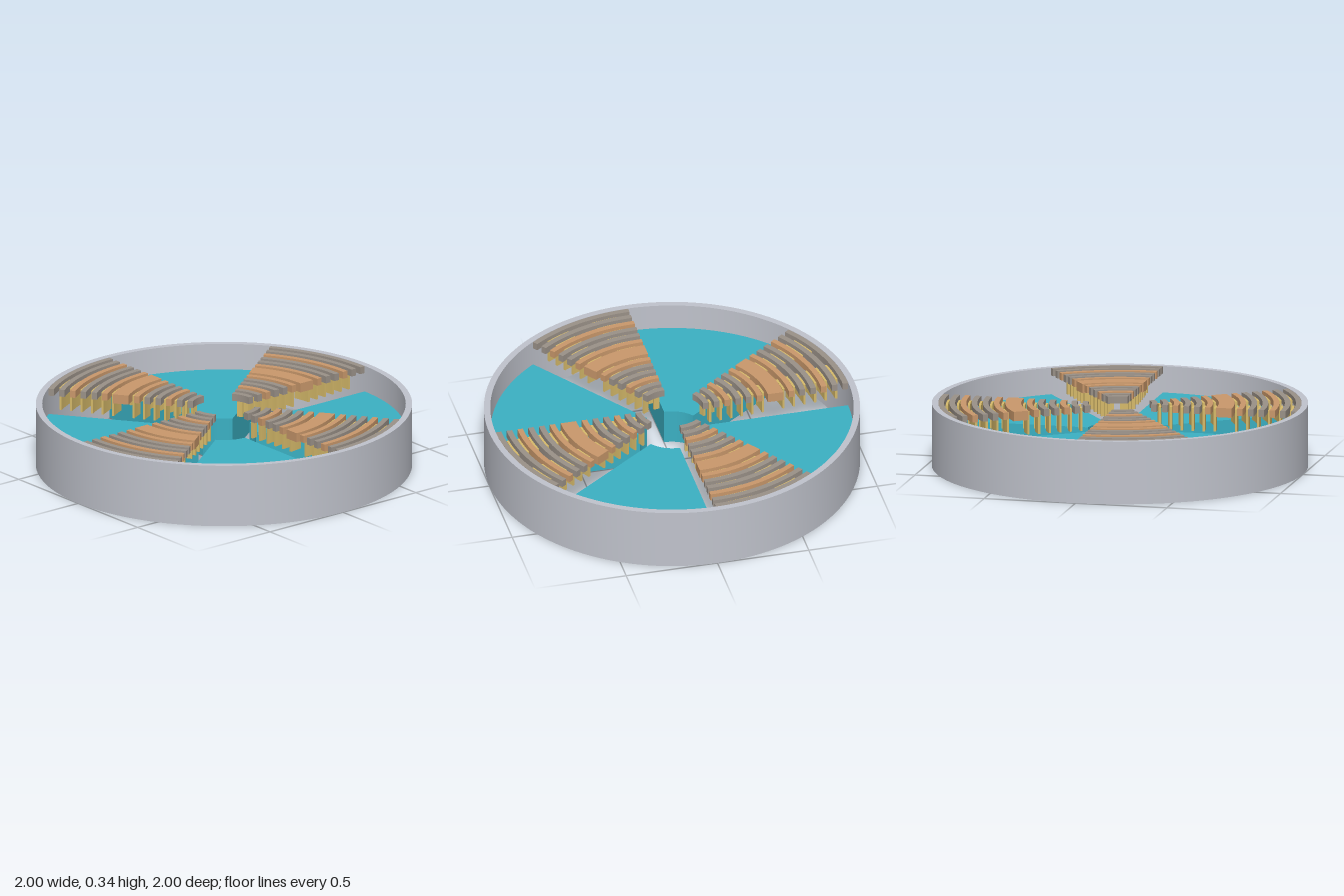
import * as THREE from 'three';
import { toCreasedNormals } from 'three/addons/utils/BufferGeometryUtils.js';

const mat = (name, color) => {
  const m = new THREE.MeshStandardMaterial({ color });
  m.name = name;
  return m;
};
const DEG = Math.PI / 180;

// Extrude a flat outline upward from y0 to y1
function raise(shape, y0, y1, segments) {
  const g = new THREE.ExtrudeGeometry(shape, { depth: y1 - y0, bevelEnabled: false, curveSegments: segments });
  g.rotateX(-Math.PI / 2);
  g.translate(0, y0, 0);
  return toCreasedNormals(g, 0.5);
}

// Solid ring sector between two radii and two angles (degrees)
function sector(r0, r1, a0, a1, y0, y1) {
  const s = new THREE.Shape();
  s.absarc(0, 0, r1, a0 * DEG, a1 * DEG, false);
  s.absarc(0, 0, r0, a1 * DEG, a0 * DEG, true);
  s.closePath();
  return raise(s, y0, y1, Math.max(6, Math.round((a1 - a0) / 2)));
}

export function createModel() {
  const model = new THREE.Group();
  const silver = mat('silver', 0xc0c3cc);
  const teal = mat('teal', 0x3bb0c3);
  const grey = mat('warmGrey', 0x9a9188);
  const copper = mat('copper', 0xc9986b);
  const gold = mat('gold', 0xd6ba6a);

  const add = (parent, name, geometry, material) => {
    const m = new THREE.Mesh(geometry, material);
    m.name = name;
    parent.add(m);
  };

  // Outer wall
  const wall = new THREE.Shape();
  wall.absarc(0, 0, 1, 0, Math.PI * 2, false);
  const bore = new THREE.Path();
  bore.absarc(0, 0, 0.966, 0, Math.PI * 2, true);
  wall.holes.push(bore);
  add(model, 'outerRing', raise(wall, 0, 0.34, 96), silver);

  // Radial layout of the curved bars: [inner radius, outer radius]
  const bars = [];
  for (let i = 0; i < 6; i++) bars.push([0.17 + i * 0.059, 0.2 + i * 0.059]);
  bars.push([0.525, 0.61]);
  for (let i = 0; i < 6; i++) bars.push([0.64 + i * 0.059, 0.67 + i * 0.059]);
  const copperBars = [2, 5, 6, 7, 10];

  const wedgeGeo = sector(0.175, 0.964, 36, 90, 0.002, 0.197);
  const barGeos = bars.map(([r0, r1], i) =>
    sector(r0, Math.min(r1, 0.965), 0, 36, i === 6 ? 0.288 : 0.3, 0.339));

  // Two thin hanging blades in each gap between bars
  const bladeGeos = [];
  for (let i = 0; i < bars.length - 1; i++) {
    const r = (bars[i][1] + bars[i + 1][0]) / 2;
    for (const a of [4.5, 22.5]) bladeGeos.push(sector(r - 0.006, r + 0.006, a, a + 9, 0.2, 0.325));
  }

  // Four quarters, each with a solid wedge and a grille
  for (let q = 0; q < 4; q++) {
    const quarter = new THREE.Group();
    quarter.name = 'quarter' + (q + 1);
    quarter.rotation.y = q * Math.PI / 2;
    add(quarter, 'wedgeBlock', wedgeGeo, teal);
    const grille = new THREE.Group();
    grille.name = 'grille';
    barGeos.forEach((g, i) => add(grille, 'curvedBar', g, copperBars.includes(i) ? copper : grey));
    bladeGeos.forEach(g => add(grille, 'hangingBlade', g, gold));
    quarter.add(grille);
    model.add(quarter);
  }
  return model;
}
